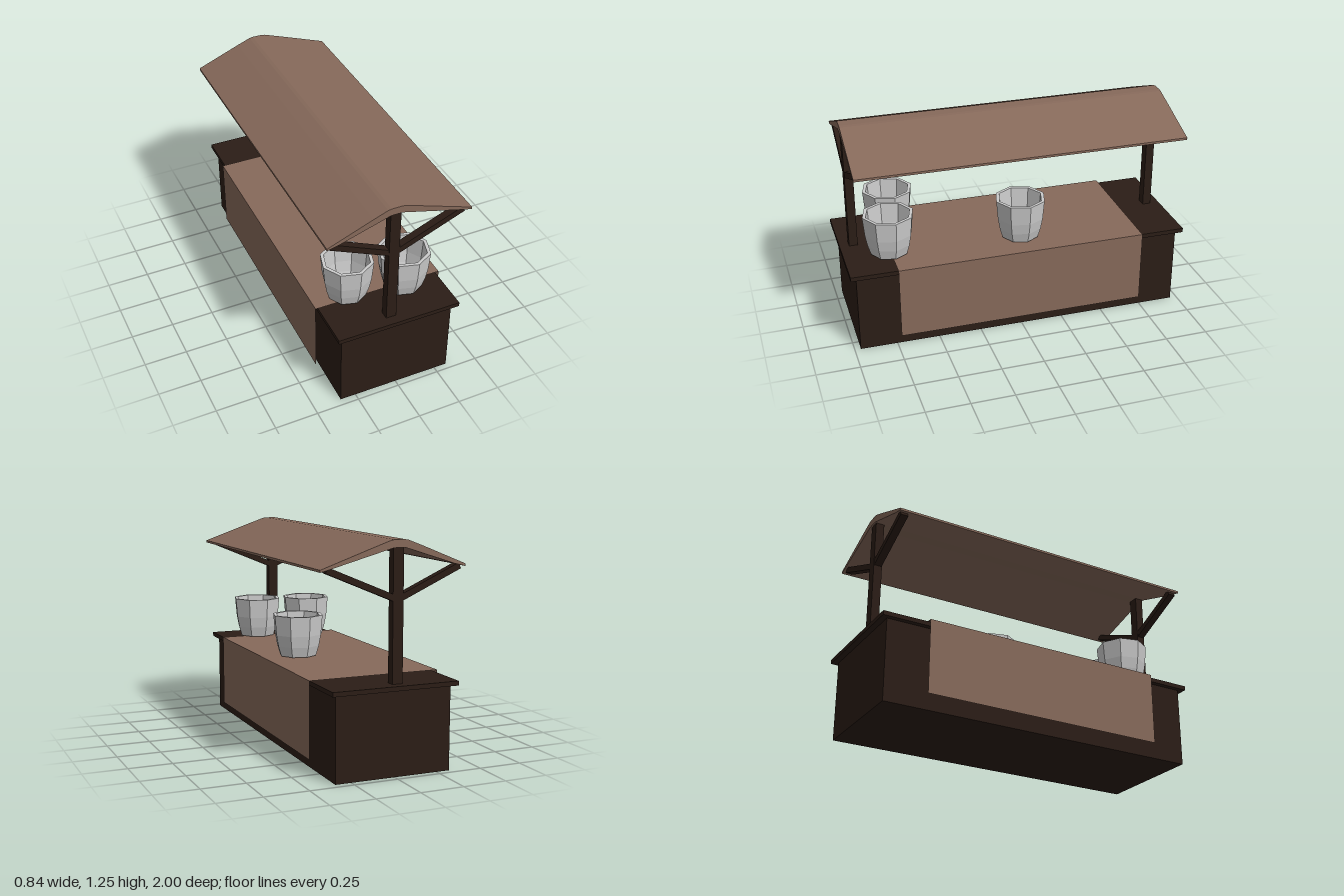
import * as THREE from 'three';

const wood = new THREE.MeshStandardMaterial({ color: 0x2b1d16 });
const cloth = new THREE.MeshStandardMaterial({ color: 0x86695a, side: THREE.DoubleSide });
const clay = new THREE.MeshStandardMaterial({ color: 0xcccccc, flatShading: true, side: THREE.DoubleSide });

function add(parent, name, geometry, material, x = 0, y = 0, z = 0) {
  const mesh = new THREE.Mesh(geometry, material);
  mesh.name = name;
  mesh.position.set(x, y, z);
  parent.add(mesh);
  return mesh;
}

const box = (w, h, d) => new THREE.BoxGeometry(w, h, d);

// Square beam between two points in the x/y plane
function beam(parent, name, x0, y0, x1, y1, z, thick, depth) {
  const length = Math.hypot(x1 - x0, y1 - y0);
  const mesh = add(parent, name, box(length, thick, depth), wood, (x0 + x1) / 2, (y0 + y1) / 2, z);
  mesh.rotation.z = Math.atan2(y1 - y0, x1 - x0);
}

export function createModel() {
  const stall = new THREE.Group();
  stall.name = 'marketStall';
  stall.rotation.y = -0.008;

  // Counter
  add(stall, 'counterBody', box(0.666, 0.47, 1.925), wood, 0, 0.235, 0);
  add(stall, 'counterTop', box(0.726, 0.025, 1.994), wood, 0, 0.4825, 0);

  // Thin cloth draped over the counter and down both sides
  const drape = new THREE.Group();
  drape.name = 'tableCloth';
  stall.add(drape);
  add(drape, 'clothTop', new THREE.PlaneGeometry(0.76, 1.46), cloth, 0, 0.504, 0).rotation.x = -Math.PI / 2;
  for (const side of [-1, 1]) {
    const flap = add(drape, 'clothFlap', new THREE.PlaneGeometry(1.46, 0.429), cloth, side * 0.38, 0.2895, 0);
    flap.rotation.y = side * Math.PI / 2;
  }

  // Posts with a pair of struts each
  const postX = -0.028;
  for (const z of [0.917, -0.917]) {
    add(stall, 'roofPost', box(0.06, 0.73, 0.05), wood, postX, 0.845, z);
    beam(stall, 'leftStrut', postX, 0.938, 0.372, 1.106, z, 0.034, 0.045);
    beam(stall, 'rightStrut', postX, 0.938, -0.388, 1.101, z, 0.034, 0.045);
  }

  // Roof section: flat ridge, sloping sides, thin eaves
  const section = new THREE.Shape([
    [-0.415, 1.098], [-0.35, 1.114], [-0.06, 1.208], [0.005, 1.208], [0.35, 1.114], [0.413, 1.098],
    [0.413, 1.111], [0.12, 1.213], [0.02, 1.247], [0, 1.25],
    [-0.06, 1.25], [-0.08, 1.246], [-0.16, 1.215], [-0.415, 1.111],
  ].map(([x, y]) => new THREE.Vector2(x, y)));
  const roof = new THREE.ExtrudeGeometry(section, { depth: 1.904, bevelEnabled: false });
  add(stall, 'roof', roof, cloth, 0, 0, -0.952);

  // Eight-sided hollow pots
  const profile = [
    [0, 0], [0.11, 0], [0.128, 0.06], [0.14, 0.125], [0.15, 0.24],
    [0.13, 0.24], [0.121, 0.125], [0.109, 0.06], [0.095, 0.02], [0, 0.02],
  ].map(([r, y]) => new THREE.Vector2(r, y));
  const pot = new THREE.LatheGeometry(profile, 8, THREE.MathUtils.degToRad(7));
  for (const [x, z] of [[-0.17, 0.675], [0.146, 0.733], [0.17, -0.04]]) {
    add(stall, 'pot', pot, clay, x, 0.51, z);
  }

  const model = new THREE.Group();
  model.name = 'model';
  model.add(stall);
  return model;
}
